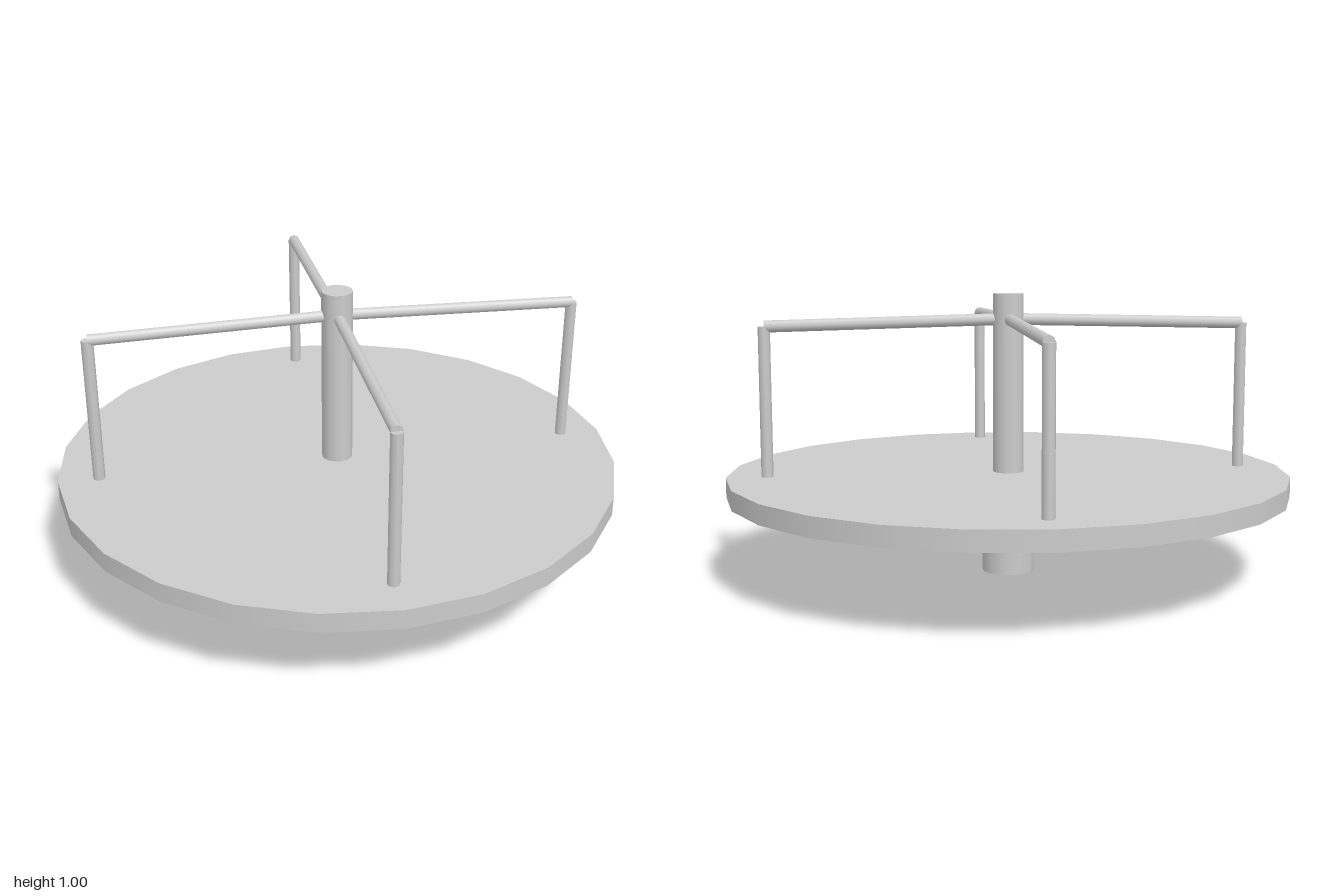
import * as THREE from 'three';

const material = new THREE.MeshStandardMaterial({ color: 0xcccccc });

// Cylinder running between two points
function rod(name, from, to, radius, sides) {
  const axis = new THREE.Vector3().subVectors(to, from);
  const mesh = new THREE.Mesh(new THREE.CylinderGeometry(radius, radius, axis.length(), sides), material);
  mesh.name = name;
  mesh.position.addVectors(from, to).multiplyScalar(0.5);
  mesh.quaternion.setFromUnitVectors(new THREE.Vector3(0, 1, 0), axis.normalize());
  return mesh;
}

const upright = (name, y0, y1, radius, sides) =>
  rod(name, new THREE.Vector3(0, y0, 0), new THREE.Vector3(0, y1, 0), radius, sides);

export function createModel() {
  const model = new THREE.Group();
  model.name = 'merryGoRound';

  // Pedestal, turning deck and centre post
  model.add(upright('pedestal', 0, 0.3, 0.095, 12));
  model.add(upright('deck', 0.293, 0.362, 1, 24));
  model.add(upright('centrePost', 0.33, 1, 0.055, 12));

  // Four handrails on the diagonals, each a sloping bar and an upright
  const reach = 0.605 * Math.SQRT2;
  for (let i = 0; i < 4; i++) {
    const handrail = new THREE.Group();
    handrail.name = 'handrail' + (i + 1);
    const corner = new THREE.Vector3(reach, 0.89, 0);
    handrail.add(rod('railBar', new THREE.Vector3(0, 0.91, 0), corner, 0.021, 8));
    handrail.add(rod('railUpright', new THREE.Vector3(reach, 0.34, 0), corner, 0.021, 8));
    handrail.rotation.y = Math.PI / 4 + i * Math.PI / 2;
    model.add(handrail);
  }
  return model;
}
